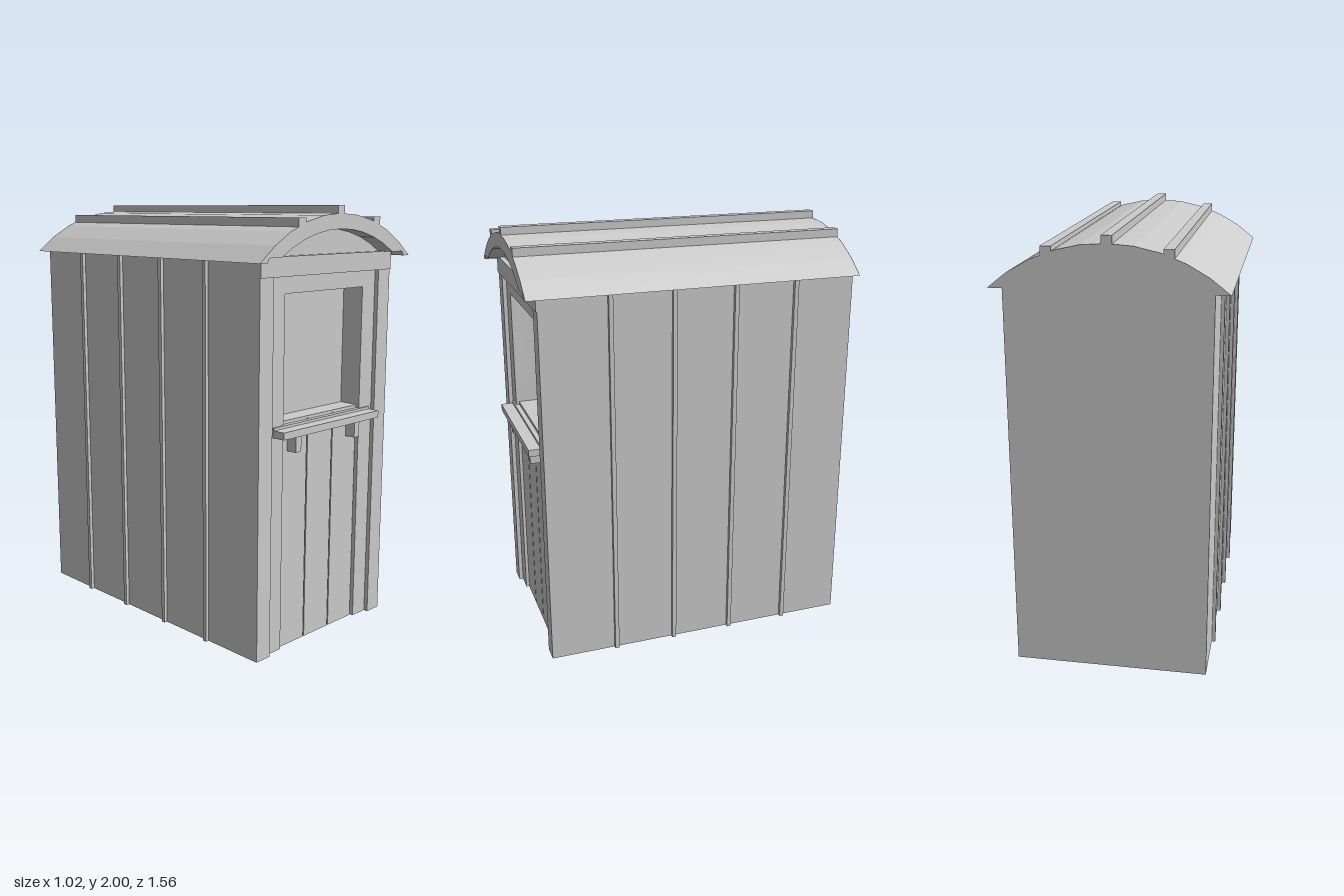
import * as THREE from 'three';

export function createModel() {
  const hut = new THREE.Group();
  hut.name = 'hut';
  const grey = new THREE.MeshStandardMaterial({ color: 0xcccccc, side: THREE.DoubleSide });
  grey.name = 'plain grey';

  const add = (geometry, name) => {
    const mesh = new THREE.Mesh(geometry, grey);
    mesh.name = name;
    hut.add(mesh);
    return mesh;
  };
  // Box given by its minimum and maximum on each axis
  const box = (name, x0, x1, y0, y1, z0, z1) => {
    const mesh = add(new THREE.BoxGeometry(x1 - x0, y1 - y0, z1 - z0), name);
    mesh.position.set((x0 + x1) / 2, (y0 + y1) / 2, (z0 + z1) / 2);
    return mesh;
  };
  const extrude = (points, name, z0, z1, hole) => {
    const shape = new THREE.Shape(points);
    if (hole) shape.holes.push(new THREE.Path(hole));
    const geometry = new THREE.ExtrudeGeometry(shape, { depth: z1 - z0, bevelEnabled: false });
    add(geometry, name).position.z = z0;
  };
  // Circular arc from +half to -half with its peak on x = 0
  const arc = (half, base, peak, steps) => {
    const rise = peak - base;
    const r = (half * half + rise * rise) / (2 * rise);
    const a = Math.asin(half / r);
    return Array.from({ length: steps + 1 }, (_, i) => {
      const t = a * (1 - (2 * i) / steps);
      return new THREE.Vector2(r * Math.sin(t), peak - r + r * Math.cos(t));
    });
  };
  const v = (x, y) => new THREE.Vector2(x, y);

  const W = 0.445, BACK = -0.78, FRONT = 0.72, EAVE = 1.79;
  const outer = arc(0.51, 1.77, 1.967, 10);
  const inner = arc(0.38, EAVE, 1.9, 10);

  // Arched roof, thin at the eaves
  extrude([
    ...outer, v(-0.465, 1.77), v(-0.455, EAVE),
    ...inner.slice().reverse(), v(0.455, EAVE), v(0.465, 1.77),
  ], 'roof', BACK + 0.001, 0.78);

  // Roof battens
  for (const [x, top] of [[-0.255, 1.95], [0, 2], [0.255, 1.95]]) {
    box('roofBatten', x - 0.023, x + 0.023, top - 0.05, top, BACK, 0.78);
  }

  // Back wall with arched gable, flush with the roof end
  const backShape = new THREE.Shape([...outer, v(-0.465, 1.77), v(-W, 1.77), v(-W, 0), v(W, 0), v(W, 1.77), v(0.465, 1.77)]);
  add(new THREE.ShapeGeometry(backShape), 'backWall').position.z = BACK;

  // Side walls and their vertical battens
  for (const s of [-1, 1]) {
    const wall = add(new THREE.PlaneGeometry(FRONT - BACK, EAVE), 'sideWall');
    wall.rotation.y = s * Math.PI / 2;
    wall.position.set(s * W, EAVE / 2, (FRONT + BACK) / 2);
    for (const z of [0.4, 0.105, -0.19, -0.485]) {
      const batten = box('sideBatten', -0.009, 0.009, 0, 1.775, z - 0.01, z + 0.01);
      batten.position.x = s * (W + 0.008);
    }
  }

  // Front frame with door and window opening, and gable infill
  const frame = [v(-W, 0), v(-0.268, 0), v(-0.268, 1.63), v(0.268, 1.63), v(0.268, 0), v(W, 0), v(W, EAVE), v(-W, EAVE)];
  extrude(frame, 'doorFrame', 0.68, 0.7);
  extrude(inner, 'frontGable', 0.68, 0.7);

  // Corner posts and lintel
  for (const s of [-1, 1]) {
    const post = box('cornerPost', -0.0425, 0.0425, 0, 1.71, 0.7, FRONT);
    post.position.x = s * 0.4025;
  }
  box('lintel', -W, W, 1.705, EAVE, 0.7, 0.725);

  // Lower door: backing board and three planks with narrow grooves
  box('doorBacking', -0.268, 0.268, 0, 1.07, 0.66, 0.675);
  for (const x of [-0.177, 0, 0.177]) {
    box('doorPlank', x - 0.085, x + 0.085, 0, 1.07, 0.675, 0.685);
  }

  // Recessed window: jambs, head, sill and pane
  const PANE = 0.59;
  for (const s of [-1, 1]) {
    const jamb = box('windowJamb', -0.005, 0.005, 1.06, 1.64, PANE, 0.69);
    jamb.position.x = s * 0.273;
  }
  box('windowHead', -0.268, 0.268, 1.63, 1.64, PANE, 0.69);
  box('windowSill', -0.268, 0.268, 1.06, 1.07, PANE, 0.685);
  box('windowPane', -0.278, 0.278, 1.06, 1.64, PANE - 0.008, PANE);

  // Counter shelf on two brackets
  box('shelf', -0.335, 0.335, 1.01, 1.043, 0.685, 0.765);
  box('shelfUpstand', -0.335, 0.335, 1.043, 1.055, 0.685, 0.708);
  for (const x of [-0.207, 0.207]) {
    box('shelfBracket', x - 0.018, x + 0.018, 0.93, 1.01, 0.68, 0.738);
  }

  return hut;
}
